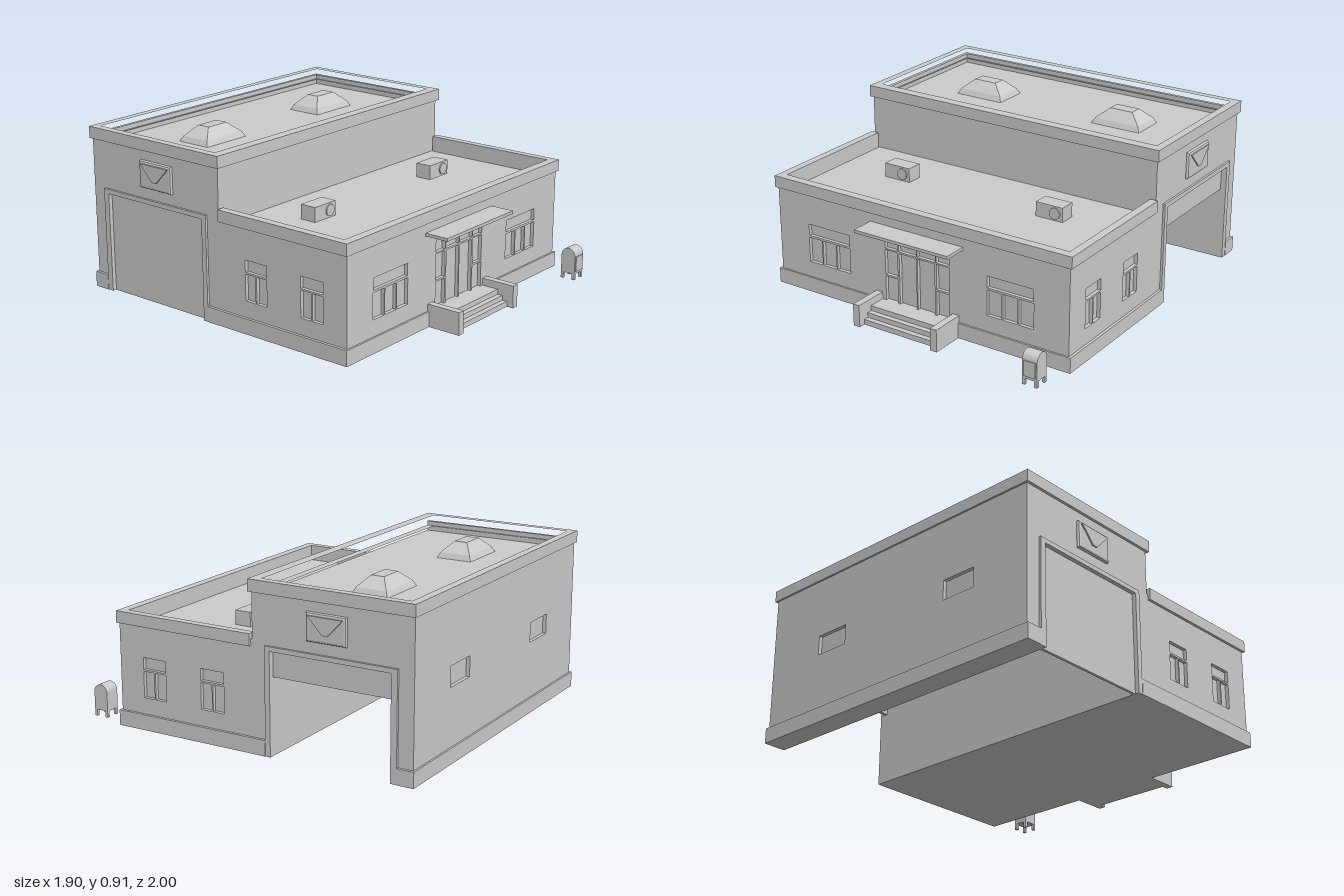
import * as THREE from 'three';
import { toCreasedNormals } from 'three/addons/utils/BufferGeometryUtils.js';

const mat = new THREE.MeshStandardMaterial({ color: 0xcccccc });

function add(parent, name, geometry) {
  const mesh = new THREE.Mesh(geometry, mat);
  mesh.name = name;
  parent.add(mesh);
  return mesh;
}

// Box given by its extents on each axis
function box(parent, name, x0, x1, y0, y1, z0, z1) {
  const m = add(parent, name, new THREE.BoxGeometry(x1 - x0, y1 - y0, z1 - z0));
  m.position.set((x0 + x1) / 2, (y0 + y1) / 2, (z0 + z1) / 2);
  return m;
}

const poly = pts => new THREE.Shape(pts.map(p => new THREE.Vector2(p[0], p[1])));
const rect = (u0, u1, v0, v1) => poly([[u0, v0], [u1, v0], [u1, v1], [u0, v1]]);
const extrude = (shape, depth, extra = {}) =>
  new THREE.ExtrudeGeometry(shape, { depth, bevelEnabled: false, ...extra });

// Flat slab with rectangular recesses
function panel(outline, holes, depth) {
  outline.holes = holes.map(h => rect(...h));
  return extrude(outline, depth);
}

// Horizontal slab from a plan outline in (x, z)
function slab(parent, name, pts, hole, y0, y1) {
  const shape = poly(pts.map(([x, z]) => [x, -z]));
  if (hole) shape.holes.push(poly(hole.map(([x, z]) => [x, -z])));
  const m = add(parent, name, extrude(shape, y1 - y0));
  m.rotation.x = -Math.PI / 2;
  m.position.y = y0;
}

// Box whose top is narrowed to w1 by d1
function frustum(w0, d0, w1, d1, h) {
  const g = new THREE.BoxGeometry(w0, h, d0).toNonIndexed();
  const p = g.attributes.position;
  for (let i = 0; i < p.count; i++) {
    if (p.getY(i) > 0) p.setXYZ(i, Math.sign(p.getX(i)) * w1 / 2, h / 2, Math.sign(p.getZ(i)) * d1 / 2);
  }
  g.computeVertexNormals();
  return g;
}

const rectPts = (x, z0, z1) => [[-x, z0], [x, z0], [x, z1], [-x, z1]];

export function createModel() {
  const model = new THREE.Group();
  model.name = 'postOfficeBuilding';

  // Solid cores around the loading bay
  box(model, 'frontCore', -0.905, 0.905, 0, 0.54, -0.18, 0.75);
  box(model, 'upperCore', -0.905, 0.905, 0.54, 0.815, -0.97, -0.07);
  box(model, 'bayBackWall', -0.905, 0.905, 0, 0.54, -0.97, -0.87);

  // Front wall with window and entrance recesses
  const frontHoles = [];
  for (const c of [-0.583, 0.578]) {
    frontHoles.push([c - 0.138, c + 0.138, 0.33, 0.395]);
    for (const d of [-0.096, 0, 0.096]) frontHoles.push([c + d - 0.044, c + d + 0.044, 0.175, 0.318]);
  }
  for (const s of [-1, 1]) {
    const span = (a, b, y0, y1) => frontHoles.push([Math.min(s * a, s * b), Math.max(s * a, s * b), y0, y1]);
    span(0.125, 0.205, 0.385, 0.475);
    span(0.125, 0.205, 0.235, 0.377);
    span(0.125, 0.205, 0.085, 0.225);
    span(0.004, 0.117, 0.385, 0.475);
    span(0.004, 0.113, 0.085, 0.375);
  }
  add(model, 'frontWall', panel(rect(-0.905, 0.905, 0, 0.6), frontHoles, 0.02)).position.z = 0.75;

  // Back wall with two small windows
  add(model, 'backWall', panel(rect(-0.905, 0.905, 0, 0.87),
    [[0.35, 0.555, 0.40, 0.51], [-0.575, -0.37, 0.40, 0.51]], 0.02)).position.z = -0.99;

  // Side walls, bay frames and envelope signs
  for (const s of [1, -1]) {
    const side = new THREE.Group();
    side.name = s > 0 ? 'leftSide' : 'rightSide';
    side.rotation.y = s * Math.PI / 2;
    model.add(side);
    const flip = pts => poly(pts.map(([z, y]) => [-s * z, y]));
    const holes = [];
    for (const z of [0.548, 0.18]) {
      const u = -s * z;
      holes.push([u - 0.072, u + 0.072, 0.33, 0.395]);
      holes.push([u - 0.072, u - 0.004, 0.175, 0.32], [u + 0.004, u + 0.072, 0.175, 0.32]);
    }
    add(side, 'sideWall', panel(flip([[0.77, 0], [-0.18, 0], [-0.18, 0.555], [-0.87, 0.555], [-0.87, 0],
      [-0.99, 0], [-0.99, 0.87], [-0.07, 0.87], [-0.07, 0.6], [0.77, 0.6]]), holes, 0.02)).position.z = 0.905;
    add(side, 'bayFrame', extrude(flip([[-0.15, 0], [-0.15, 0.58], [-0.905, 0.58], [-0.905, 0],
      [-0.87, 0], [-0.87, 0.555], [-0.18, 0.555], [-0.18, 0]]), 0.015)).position.z = 0.923;

    // Rounded sign with a raised rim and flap
    const sign = new THREE.Group();
    sign.name = 'envelopeSign';
    sign.position.set(s * 0.508, 0.715, 0.92);
    side.add(sign);
    const bevel = { bevelEnabled: true, bevelThickness: 0.01, bevelSize: 0.012, bevelSegments: 2 };
    add(sign, 'signBody', extrude(rect(-0.103, 0.103, -0.063, 0.063), 0.012, bevel));
    add(sign, 'signFlap', extrude(poly([[-0.1, 0.06], [-0.015, -0.03], [0.015, -0.03], [0.1, 0.06]]), 0.01)).position.z = 0.02;

    // Base trim along the side, broken by the bay
    const x0 = Math.min(s * 0.925, s * 0.94), x1 = Math.max(s * 0.925, s * 0.94);
    box(model, 'sideBaseTrim', x0, x1, 0, 0.085, -0.15, 0.78);
    box(model, 'sideBaseTrim', x0, x1, 0, 0.085, -1, -0.905);
  }
  box(model, 'frontBaseTrim', -0.925, 0.925, 0, 0.085, 0.77, 0.78);
  box(model, 'backBaseTrim', -0.925, 0.925, 0, 0.085, -1, -0.99);

  // One bay door raised part way, the other closed
  box(model, 'raisedBayDoor', 0.885, 0.905, 0.415, 0.555, -0.87, -0.18);
  box(model, 'closedBayDoor', -0.915, -0.9, 0, 0.555, -0.87, -0.18);

  // Parapets: outer caps and the inner faces below them
  const uShape = (x, z) => [[-x, z], [x, z], [x, -0.062], [0.895, -0.062], [0.895, 0.73],
    [-0.895, 0.73], [-0.895, -0.062], [-x, -0.062]];
  slab(model, 'lowerParapetCap', uShape(0.94, 0.78), null, 0.565, 0.63);
  slab(model, 'lowerParapetLining', uShape(0.905, 0.75), null, 0.54, 0.565);
  const upperHole = rectPts(0.895, -0.955, -0.115);
  slab(model, 'upperParapetCap', rectPts(0.94, -1, -0.055), upperHole, 0.845, 0.91);
  slab(model, 'upperParapetLining', rectPts(0.905, -0.97, -0.07), upperHole, 0.815, 0.845);

  // Skylights on the upper roof
  for (const x of [-0.455, 0.45]) {
    const skylight = new THREE.Group();
    skylight.name = 'skylight';
    skylight.position.set(x, 0.815, -0.553);
    model.add(skylight);
    add(skylight, 'skylightCurb', frustum(0.30, 0.205, 0.27, 0.175, 0.03)).position.y = 0.015;
    add(skylight, 'skylightGlass', frustum(0.27, 0.175, 0.14, 0.075, 0.055)).position.y = 0.0575;
  }

  // Roof air units with a round fan
  for (const x of [-0.497, 0.49]) {
    box(model, 'airUnit', x - 0.082, x + 0.082, 0.54, 0.62, 0.183, 0.277);
    const fan = add(model, 'airUnitFan', new THREE.CylinderGeometry(0.032, 0.032, 0.01, 20));
    fan.rotation.x = Math.PI / 2;
    fan.position.set(x + 0.035, 0.58, 0.279);
  }

  // Entrance: canopy, steps and cheek walls
  box(model, 'canopy', -0.297, 0.293, 0.498, 0.515, 0.76, 0.905);
  [[0.03, 0.93], [0.057, 0.9], [0.085, 0.87]].forEach(([h, z]) => box(model, 'step', -0.235, 0.235, 0, h, 0.77, z));
  for (const x of [-0.25, 0.245]) box(model, 'cheekWall', x - 0.02, x + 0.02, 0, 0.125, 0.77, 0.968);

  // Mailbox with a rounded top on four legs
  const mailbox = new THREE.Group();
  mailbox.name = 'mailbox';
  mailbox.position.set(0.842, 0, 0.952);
  model.add(mailbox);
  const profile = poly([[-0.043, 0.035], [0.043, 0.035], [0.043, 0.137]]);
  profile.absarc(0, 0.137, 0.043, 0, Math.PI, false);
  const body = add(mailbox, 'mailboxBody', toCreasedNormals(extrude(profile, 0.086, { curveSegments: 12 }), 0.6));
  body.rotation.y = -Math.PI / 2;
  body.position.x = 0.043;
  box(mailbox, 'mailboxDoor', -0.035, 0.035, 0.05, 0.135, 0.04, 0.048);
  for (const x of [-0.035, 0.035]) {
    for (const z of [-0.035, 0.035]) box(mailbox, 'mailboxLeg', x - 0.008, x + 0.008, 0, 0.04, z - 0.008, z + 0.008);
  }
  return model;
}
